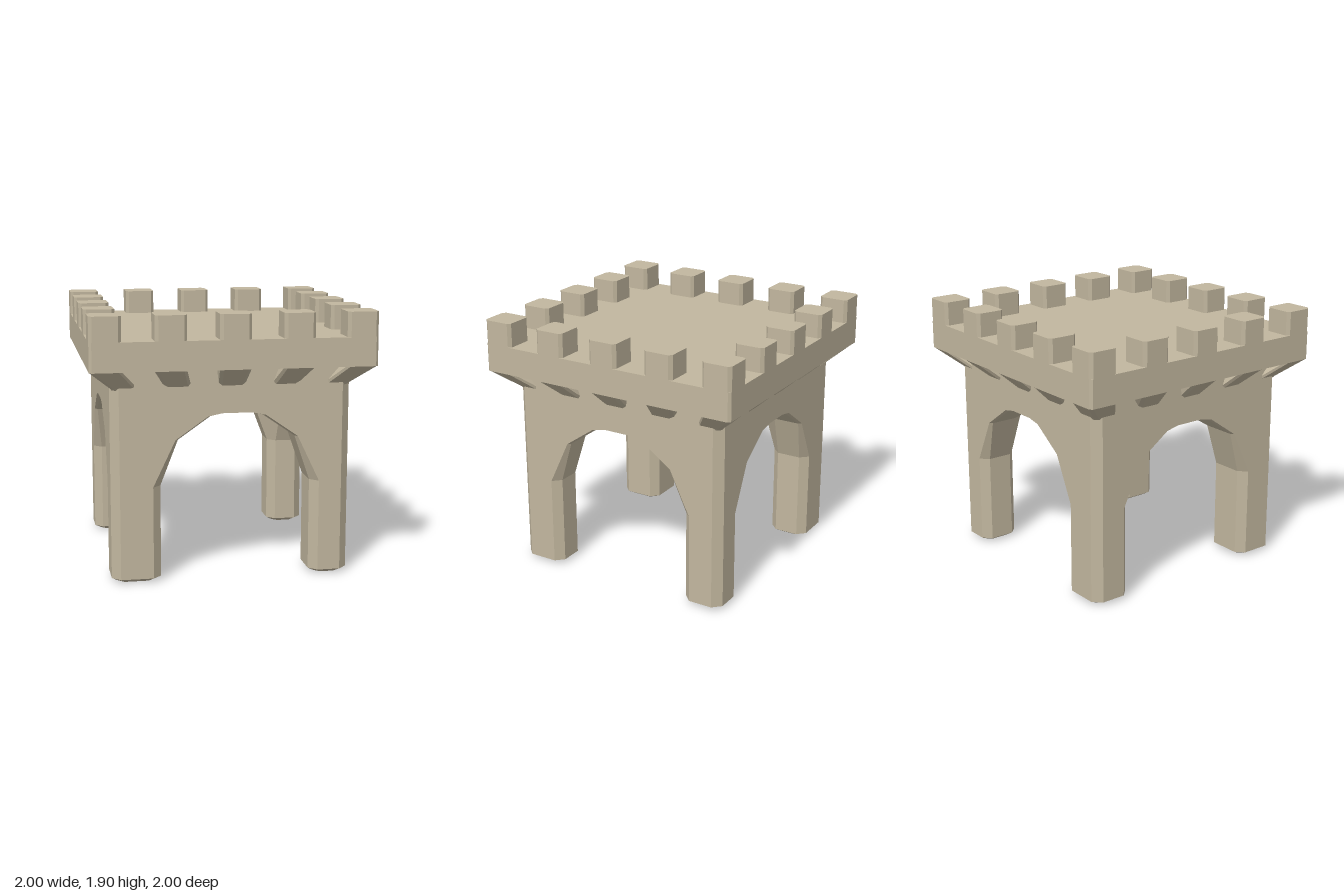
import * as THREE from 'three';

const stone = new THREE.MeshStandardMaterial({ color: 0xc2b79f, flatShading: true });

// Chamfered rectangle at height y; chamfers c run (x1,z1), (x1,z0), (x0,z0), (x0,z1)
function ring(y, x0, x1, z0, z1, c) {
  const [a, b, d, e] = Array.isArray(c) ? c : [c, c, c, c];
  return [
    [x1 - a, z1], [x1, z1 - a], [x1, z0 + b], [x1 - b, z0],
    [x0 + d, z0], [x0, z0 + d], [x0, z1 - e], [x0 + e, z1],
  ].map(([x, z]) => [x, y, z]);
}

// Capped solid through rings listed from bottom to top
function loft(name, rings, sx = 1, sz = 1) {
  const pos = [], flip = sx * sz < 0;
  const tri = (a, b, c) => {
    for (const p of flip ? [a, c, b] : [a, b, c]) pos.push(p[0] * sx, p[1], p[2] * sz);
  };
  const n = rings[0].length;
  for (let r = 0; r < rings.length - 1; r++) {
    const lo = rings[r], hi = rings[r + 1];
    for (let i = 0; i < n; i++) {
      const j = (i + 1) % n;
      tri(lo[i], lo[j], hi[j]);
      tri(lo[i], hi[j], hi[i]);
    }
  }
  const first = rings[0], last = rings[rings.length - 1];
  for (let i = 1; i < n - 1; i++) {
    tri(first[0], first[i + 1], first[i]);
    tri(last[0], last[i], last[i + 1]);
  }
  const geo = new THREE.BufferGeometry();
  geo.setAttribute('position', new THREE.Float32BufferAttribute(pos, 3));
  geo.computeVertexNormals();
  const mesh = new THREE.Mesh(geo, stone);
  mesh.name = name;
  return mesh;
}

// Leg that spreads inward at the top into a quarter of the arched vault
function leg(sx, sz) {
  const ax = sx > 0 ? 0.57 : 0.5, az = sz > 0 ? 0.52 : 0.55, R = 0.85;
  // height, inward spread, side chamfer, inner corner chamfer
  const steps = [
    [0.03, 0, 0.058, 0.06],
    [0.69, 0, 0.058, 0.06],
    [1.02, 0.12, 0.02, 0.2],
    [1.18, 0.35, 0.02, 0.32],
    [1.2, 0.45, 0.02, 0.36],
  ];
  const rings = [ring(0, ax + 0.05, R - 0.05, az + 0.05, R - 0.05, 0.04)];
  for (const [y, spread, side, inner] of steps) {
    rings.push(ring(y, ax - spread, R, az - spread, R, [0.06, side, inner, side]));
  }
  return loft('archedLeg', rings, sx, sz);
}

export function createModel() {
  const model = new THREE.Group();
  model.name = 'battlementedGatehouse';

  for (const sx of [-1, 1]) for (const sz of [-1, 1]) model.add(leg(sx, sz));

  // Upper wall and overhanging platform
  const slab = (name, y0, y1, r, c) =>
    loft(name, [ring(y0, -r, r, -r, r, c), ring(y1, -r, r, -r, r, c)]);
  model.add(slab('upperWall', 1.2, 1.53, 0.85, 0.06));
  model.add(slab('platform', 1.525, 1.73, 1, 0.018));

  // Merlons around the rim, each with a corbel tapering toward the wall below
  const spots = [-0.89, -0.445, 0, 0.445, 0.89], h = 0.11;
  spots.forEach((x, i) => spots.forEach((z, k) => {
    if (i % 4 && k % 4) return;
    const foot = (y, s, c) => ring(y, (x - h) * s, (x + h) * s, (z - h) * s, (z + h) * s, c);
    model.add(loft('merlon', [foot(1.72, 1, 0.022), foot(1.905, 1, 0.022)]));
    model.add(loft('corbel', [
      foot(1.37, 0.83, 0.03), foot(1.39, 0.845, 0.025), foot(1.527, 1, 0.022),
    ]));
  }));

  return model;
}
